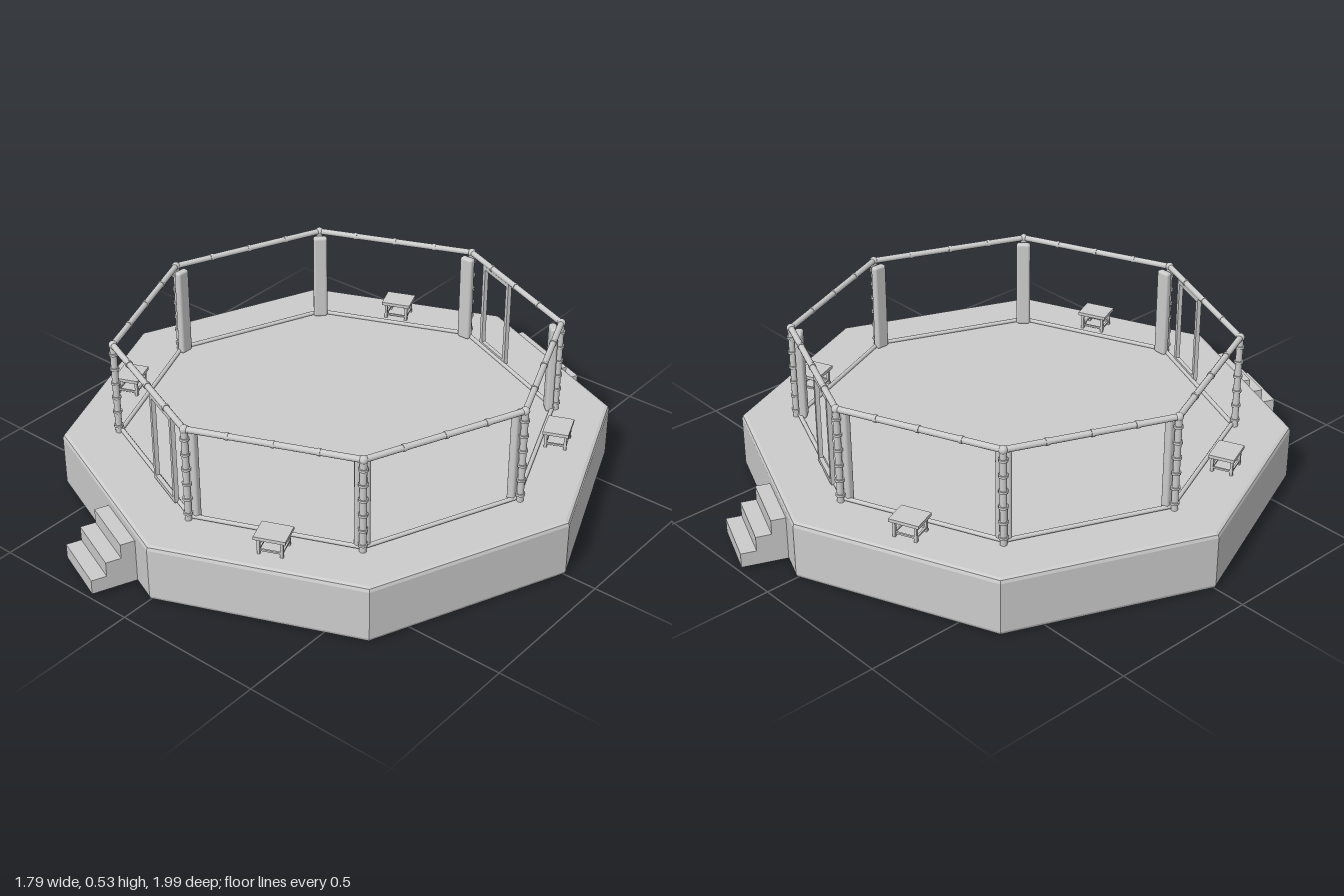
import * as THREE from 'three';
import { RoundedBoxGeometry } from 'three/addons/geometries/RoundedBoxGeometry.js';

const SIDES = 8, STEP = Math.PI / 4;
const DECK = 0.197, POST_R = 0.712, TOP = 0.52;
const APOTHEM = POST_R * Math.cos(STEP / 2), SPAN = 2 * POST_R * Math.sin(STEP / 2);

const smooth = new THREE.MeshStandardMaterial({ color: 0xcccccc });
const flat = new THREE.MeshStandardMaterial({ color: 0xcccccc, flatShading: true });

function add(parent, name, geometry, x, y, z, material = smooth) {
  const mesh = new THREE.Mesh(geometry, material);
  mesh.name = name;
  mesh.position.set(x, y, z);
  parent.add(mesh);
  return mesh;
}
const box = (parent, name, w, h, d, x, y, z) =>
  add(parent, name, new THREE.BoxGeometry(w, h, d), x, y, z);

// Horizontal pipe along local x
function pipe(parent, name, radius, length, y, z) {
  add(parent, name, new THREE.CylinderGeometry(radius, radius, length, 12), 0, y, z).rotation.z = Math.PI / 2;
}

// Group whose local z points outward at the given angle
function spoke(parent, name, angle) {
  const group = new THREE.Group();
  group.name = name;
  group.rotation.y = angle;
  parent.add(group);
  return group;
}

function buildPost(parent, angle, padded) {
  const post = spoke(parent, 'fencePost', angle);
  const h = TOP - DECK;
  add(post, 'postPole', new THREE.CylinderGeometry(0.011, 0.011, h, 12), 0, DECK + h / 2, POST_R);
  add(post, 'postCap', new THREE.SphereGeometry(0.014, 12, 8), 0, TOP, POST_R);
  // Clamps up the pole
  for (let i = 0; i < 6; i++)
    add(post, 'postClamp', new THREE.CylinderGeometry(0.015, 0.015, 0.008, 12), 0, DECK + 0.025 + i * 0.053, POST_R);
  if (padded)
    add(post, 'cornerPad', new RoundedBoxGeometry(0.048, 0.312, 0.026, 3, 0.009), 0, DECK + 0.157, POST_R - 0.024);
}

function buildRails(parent, angle) {
  const panel = spoke(parent, 'fencePanel', angle);
  pipe(panel, 'topRail', 0.01, SPAN, TOP, APOTHEM);
  pipe(panel, 'bottomRail', 0.007, SPAN - 0.02, DECK + 0.008, APOTHEM - 0.008);
  for (const x of [-0.14, 0, 0.14])
    add(panel, 'railClip', new THREE.CylinderGeometry(0.012, 0.012, 0.01, 12), x, TOP, APOTHEM).rotation.z = Math.PI / 2;
}

// Door frame within one fence panel
function buildGate(parent, angle) {
  const gate = spoke(parent, 'gate', angle);
  const left = 0.037, right = 0.181, low = 0.212, high = 0.506, bar = 0.014;
  for (const x of [left, right])
    box(gate, 'gateUpright', bar, high - low + bar, bar, x, (low + high) / 2, APOTHEM);
  for (const y of [low, high])
    box(gate, 'gateCrossbar', right - left - bar, bar, bar, (left + right) / 2, y, APOTHEM);
}

// Stepped profile extruded sideways
function buildStairs(parent, angle) {
  const stairs = spoke(parent, 'stairs', angle);
  const inner = 0.80, outer = 0.972, tread = 0.05, rise = 0.049, floor = 0.013, width = 0.207;
  const shape = new THREE.Shape();
  shape.moveTo(inner, floor);
  shape.lineTo(outer, floor);
  for (let i = 0; i < 3; i++) {
    shape.lineTo(outer - i * tread, floor + (i + 1) * rise);
    shape.lineTo(i < 2 ? outer - (i + 1) * tread : inner, floor + (i + 1) * rise);
  }
  shape.closePath();
  const geometry = new THREE.ExtrudeGeometry(shape, { depth: width, bevelEnabled: false });
  geometry.rotateY(-Math.PI / 2);
  add(stairs, 'steps', geometry, 0.25, 0, 0);
}

function buildStool(parent, angle, along, out) {
  const stool = spoke(parent, 'stool', angle);
  const w = 0.1, d = 0.083, h = 0.063, leg = 0.009;
  box(stool, 'stoolSeat', w, 0.011, d, along, DECK + h - 0.0055, out);
  for (const sx of [-1, 1]) {
    const x = along + sx * (w / 2 - 0.014);
    for (const sz of [-1, 1])
      box(stool, 'stoolLeg', leg, h - 0.011, leg, x, DECK + (h - 0.011) / 2, out + sz * (d / 2 - 0.01));
    box(stool, 'stoolSideBar', 0.006, 0.006, d - 0.028, x, DECK + 0.014, out);
  }
  for (const sz of [-1, 1])
    box(stool, 'stoolLongBar', w - 0.036, 0.006, 0.006, along, DECK + 0.014, out + sz * (d / 2 - 0.01));
}

export function createModel() {
  const model = new THREE.Group();
  model.name = 'octagonalFightingRing';

  // Raised platform with softened edges
  const profile = [[0, 0], [0.879, 0], [0.889, 0.004], [0.893, 0.014], [0.893, 0.183],
    [0.889, 0.193], [0.879, DECK], [0, DECK]].map(([r, y]) => new THREE.Vector2(r, y));
  add(model, 'platform', new THREE.LatheGeometry(profile, SIDES), 0, 0, 0, flat);

  // Floor mat inside the fence
  add(model, 'floorMat', new THREE.CylinderGeometry(0.7, 0.7, 0.004, SIDES), 0, DECK + 0.001, 0, flat);

  // Fence
  for (let i = 0; i < SIDES; i++) {
    buildPost(model, i * STEP, i !== 7);
    buildRails(model, (i + 0.5) * STEP);
  }

  // Two opposite entrances
  for (const angle of [-STEP / 2, Math.PI - STEP / 2]) {
    buildGate(model, angle);
    buildStairs(model, angle);
  }

  // Stools around the walkway: side index, offset along the side, distance out
  for (const [side, along, out] of [[0, 0.02, 0.724], [2, 0.077, 0.704], [4, 0, 0.723], [6, 0.018, 0.717]])
    buildStool(model, (side + 0.5) * STEP, along, out);

  return model;
}
